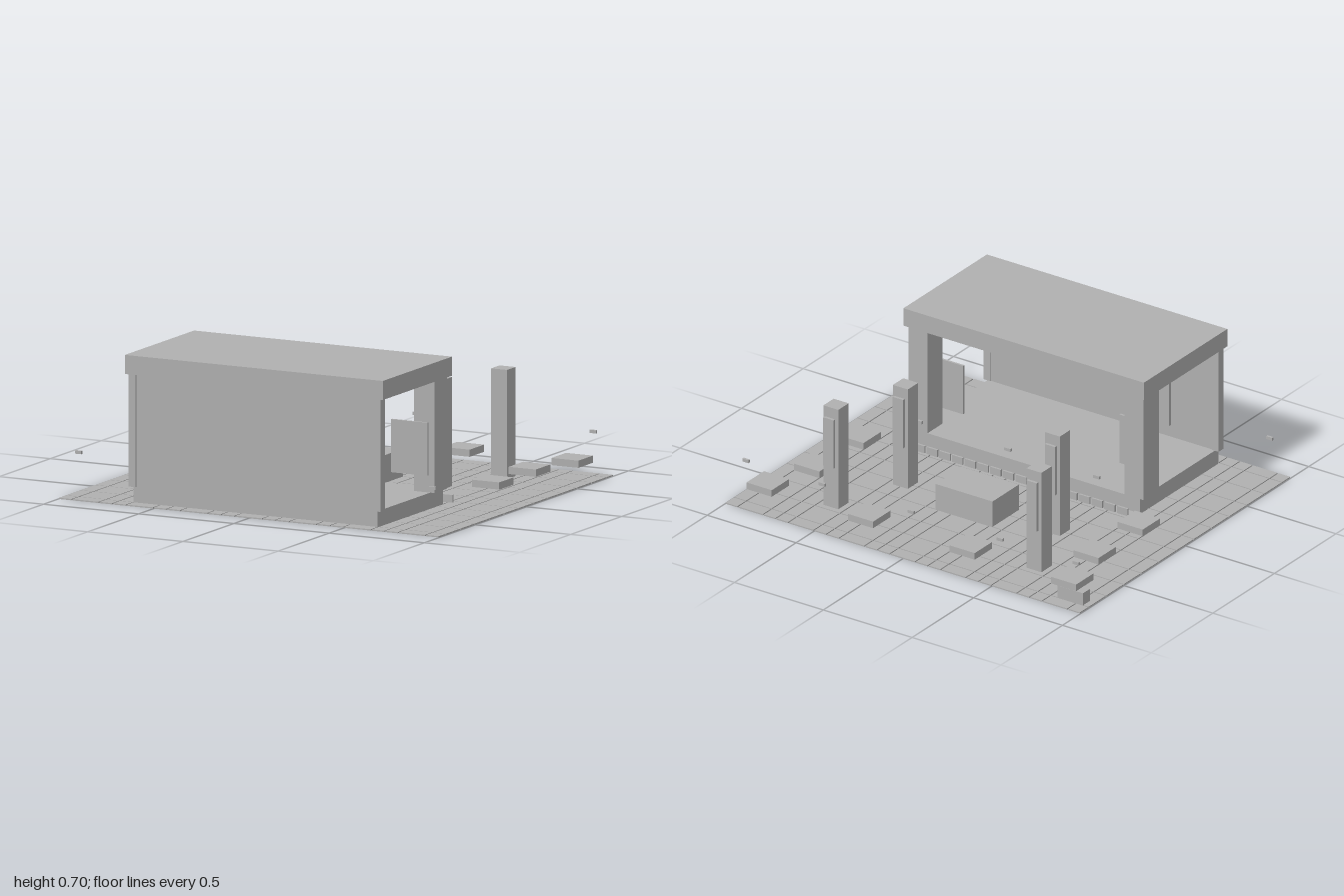
import * as THREE from 'three';

export function createModel() {
  const root = new THREE.Group();
  const stone = new THREE.MeshStandardMaterial({ color: 0xb0b0b0 });
  stone.name = 'grey stone';

  // Box given by its min and max along each axis
  function box(name, x0, x1, y0, y1, z0, z1, parent = root) {
    const mesh = new THREE.Mesh(new THREE.BoxGeometry(x1 - x0, y1 - y0, z1 - z0), stone);
    mesh.position.set((x0 + x1) / 2, (y0 + y1) / 2, (z0 + z1) / 2);
    mesh.name = name;
    parent.add(mesh);
    return mesh;
  }
  function group(name) {
    const g = new THREE.Group();
    g.name = name;
    root.add(g);
    return g;
  }

  // Paved plaza: narrow and wide slabs separated by fine joints
  const paving = group('paving');
  const unit = 2 / 28;
  const gap = 0.003;
  const columns = [];
  for (let i = 0; i < 7; i++) columns.push(1, 2, 1);
  const rows = [1, ...Array(11).fill(2), 1];
  let x = -1;
  for (const c of columns) {
    let z = -12 * unit;
    for (const r of rows) {
      box('pavingTile', x + gap, x + c * unit - gap, 0, 0.006,
        z + gap, z + r * unit - gap, paving);
      z += r * unit;
    }
    x += c * unit;
  }

  // Open pavilion
  const pavilion = group('pavilion');
  box('pavilionFloor', -0.64, 0.64, 0.004, 0.08, 0.147, 0.787, pavilion);
  box('backWall', -0.64, 0.64, 0.08, 0.61, 0.76, 0.787, pavilion);
  box('wallPanel', -0.39, 0.39, 0.14, 0.485, 0.747, 0.76, pavilion);
  box('roof', -0.677, 0.677, 0.61, 0.7, 0.127, 0.805, pavilion);
  for (const s of [-1, 1]) {
    const mirrored = (name, a, b, ...rest) =>
      box(name, Math.min(s * a, s * b), Math.max(s * a, s * b), ...rest, pavilion);
    mirrored('rearPost', 0.625, 0.662, 0.08, 0.61, 0.755, 0.797);
    mirrored('frontPillar', 0.555, 0.662, 0.08, 0.61, 0.147, 0.27);
    mirrored('hangingPanel', 0.44, 0.63, 0.16, 0.41, 0.27, 0.281);
  }

  // Low kerb of small blocks along the open side
  const kerb = group('kerb');
  for (let i = 0; i < 18; i++) {
    const k = -0.61 + i * unit;
    box('kerbBlock', k, k + 0.06, 0.004, 0.042, 0.09, 0.1, kerb);
  }

  // Central plinth
  box('plinth', -0.16, 0.16, 0.004, 0.137, -0.357, -0.143);

  // Free-standing pillars, each with a plaque on its rear side
  for (const [cx, cz] of [[0.428, -0.215], [0.572, -0.572]]) {
    for (const s of [-1, 1]) {
      const pillar = group('pillar');
      box('pillarShaft', s * cx - 0.042, s * cx + 0.042, 0.004, 0.52, cz - 0.042, cz + 0.042, pillar);
      box('pillarPlaque', s * cx - 0.029, s * cx + 0.029, 0.22, 0.47, cz - 0.062, cz - 0.048, pillar);
    }
  }

  // Raised slab seats
  for (const [cx, cz] of [[0.786, -0.071], [0.786, -0.429], [0.857, -0.714], [0.286, -0.714]]) {
    for (const s of [-1, 1]) {
      box('slabSeat', s * cx - 0.071, s * cx + 0.071, 0.068, 0.102, cz - 0.071, cz + 0.071);
    }
  }
  box('seatBlock', -0.967, -0.823, 0.004, 0.068, -0.786, -0.73);

  // Small floating lights
  const lights = [[-0.93, 0.786], [0.93, 0.786], [-0.5, 0], [0, 0], [0.5, 0]];
  for (const lx of [-0.93, -0.5, 0, 0.5, 0.93]) lights.push([lx, -0.786]);
  for (const [lx, lz] of lights) {
    box('smallLight', lx - 0.017, lx + 0.017, 0.208, 0.223, lz - 0.006, lz + 0.006);
  }

  return root;
}
